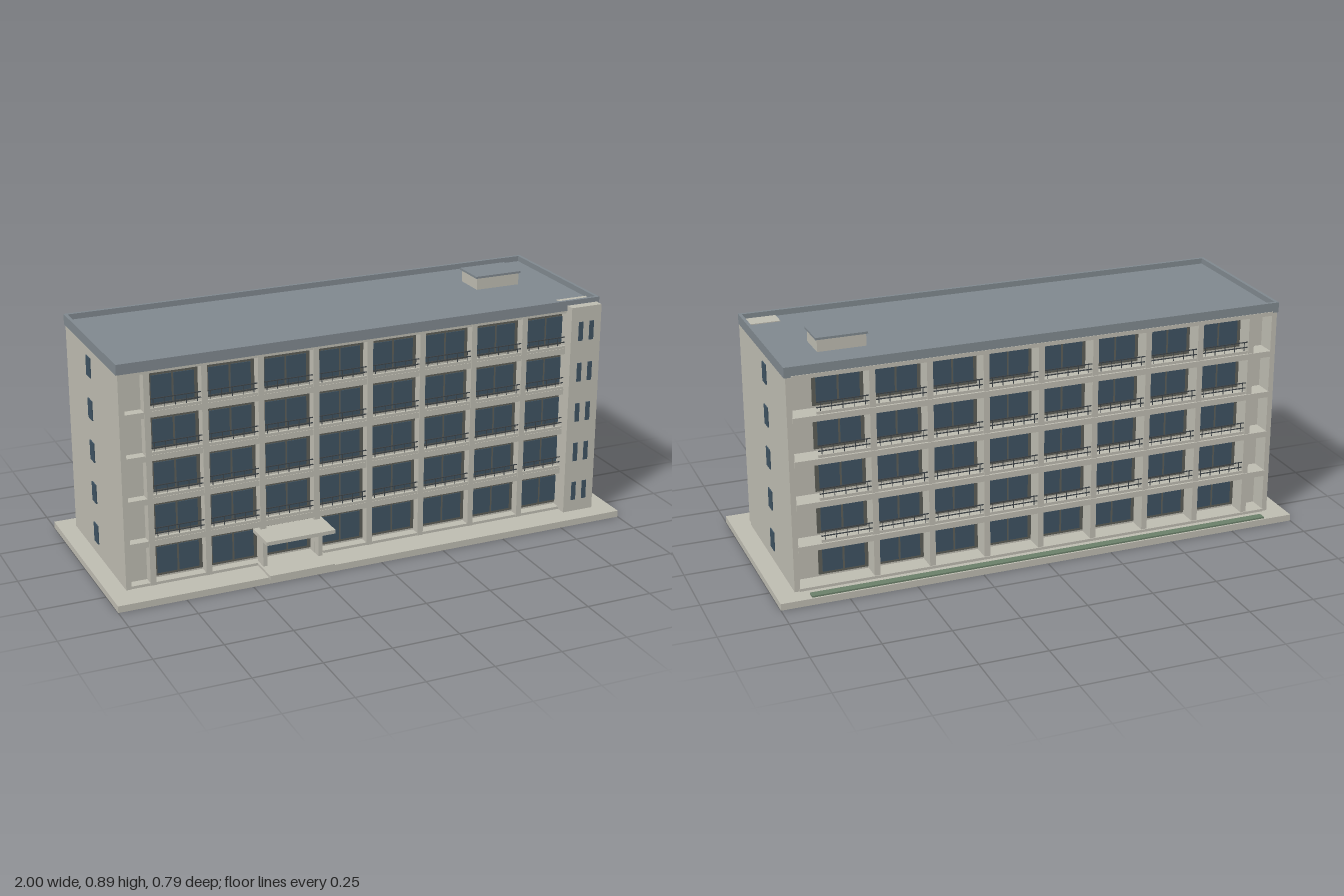
import * as THREE from 'three';

const mat = (name, color) => {
  const m = new THREE.MeshStandardMaterial({ color });
  m.name = name;
  return m;
};

export function createModel() {
  const wall = mat('concrete', 0xbdbbb0);
  const roofMat = mat('slate roof', 0x7f888e);
  const glass = mat('window glass', 0x3e5261);
  const frame = mat('window frame', 0x5c5d57);
  const rail = mat('railing metal', 0x3c4246);
  const green = mat('hedge', 0x6a7f69);

  const model = new THREE.Group();
  model.name = 'apartmentBlock';

  // Box given by its minimum and maximum along each axis
  const box = (name, m, x0, x1, y0, y1, z0, z1, parent = model) => {
    const mesh = new THREE.Mesh(new THREE.BoxGeometry(x1 - x0, y1 - y0, z1 - z0), m);
    mesh.position.set((x0 + x1) / 2, (y0 + y1) / 2, (z0 + z1) / 2);
    mesh.name = name;
    parent.add(mesh);
    return mesh;
  };

  const FLOORS = 5, STEP = 0.16, BAY = 0.2085;
  const FRONT = 0.278, BACK = -0.325;
  const CORE_FRONT = 0.24, CORE_BACK = -0.255;
  const floorY = i => 0.035 + STEP * i;

  // Ground slab and hedge
  box('groundSlab', wall, -1, 1, 0, 0.025, -0.395, 0.385);
  box('hedge', green, -0.89, 0.885, 0.025, 0.031, -0.388, -0.358);

  // Core and end walls
  box('core', wall, -0.92, 0.915, 0.025, 0.825, CORE_BACK, CORE_FRONT);
  box('rightEndWall', wall, -0.935, -0.915, 0.025, 0.825, BACK, FRONT);
  box('leftEndWall', wall, 0.91, 0.93, 0.025, 0.825, BACK, FRONT);

  // Floor slabs reaching out to both facades
  for (let i = 0; i <= FLOORS; i++) {
    const y = floorY(i);
    box('floorSlab', wall, -0.916, 0.912, i ? y - 0.022 : 0.02, i === FLOORS ? 0.828 : y, BACK - 0.004, FRONT - 0.002);
  }

  // One facade: columns, windows and railings; dir is +1 for front, -1 for back
  const facade = (name, dir, coreZ, edgeZ) => {
    const g = new THREE.Group();
    g.name = name;
    model.add(g);
    const slab = (n, m, x0, x1, y0, y1, a, b) =>
      box(n, m, x0, x1, y0, y1, Math.min(a, b), Math.max(a, b), g);
    for (let k = -4; k <= 3; k++) {
      slab('column', wall, k * BAY - 0.011, k * BAY + 0.011, 0.025, 0.825, coreZ - dir * 0.01, edgeZ);
    }
    for (let i = 0; i < FLOORS; i++) {
      const y = floorY(i);
      for (let k = -4; k <= 3; k++) {
        const c = (k + 0.5) * BAY;
        slab('windowFrame', frame, c - 0.092, c + 0.092, y + 0.008, y + 0.132, coreZ, coreZ + dir * 0.004);
        for (const s of [-1, 1]) {
          const p = c + s * 0.041;
          slab('windowPane', glass, p - 0.037, p + 0.037, y + 0.018, y + 0.118, coreZ, coreZ + dir * 0.007);
        }
        if (i === 0) continue;
        // Low kerb and railing on the upper balconies
        const z = edgeZ - dir * 0.008;
        slab('balconyKerb', wall, c - 0.094, c + 0.094, y, y + 0.01, z - dir * 0.004, z + dir * 0.004);
        for (const h of [0.022, 0.042]) {
          slab('handrail', rail, c - 0.094, c + 0.094, y + h, y + h + 0.003, z - dir * 0.002, z + dir * 0.002);
        }
        for (let b = -2; b <= 2; b++) {
          const x = c + b * 0.04;
          slab('railPost', rail, x - 0.001, x + 0.001, y + 0.008, y + 0.043, z - dir * 0.001, z + dir * 0.001);
        }
      }
    }
  };
  facade('frontFacade', 1, CORE_FRONT, FRONT);
  facade('backFacade', -1, CORE_BACK, BACK);

  // Stair tower with paired slit windows
  box('stairTower', wall, 0.8, 0.925, 0.025, 0.843, 0.2, 0.314);
  for (let i = 0; i < FLOORS; i++) {
    const y0 = 0.072 + STEP * i, y1 = y0 + 0.073;
    for (const x of [0.84, 0.885]) {
      box('towerWindow', glass, x - 0.009, x + 0.009, y0, y1, 0.312, 0.317);
    }
    // Corridor windows on both ends
    box('leftEndWindow', glass, 0.926, 0.934, y0, y1, -0.075, -0.029);
    box('rightEndWindow', glass, -0.939, -0.931, y0, y1, -0.075, -0.029);
  }

  // Roof deck and parapet
  box('roofDeck', roofMat, -0.935, 0.93, 0.823, 0.84, BACK, FRONT);
  box('frontParapet', roofMat, -0.94, 0.935, 0.823, 0.861, FRONT - 0.01, FRONT + 0.002);
  box('backParapet', roofMat, -0.94, 0.935, 0.823, 0.861, BACK - 0.002, BACK + 0.01);
  box('rightParapet', roofMat, -0.94, -0.928, 0.823, 0.861, BACK, FRONT);
  box('leftParapet', roofMat, 0.923, 0.935, 0.823, 0.861, BACK, FRONT);

  // Roof access hut
  box('roofHut', wall, 0.592, 0.77, 0.838, 0.886, -0.162, -0.04);
  box('roofHutCap', roofMat, 0.586, 0.776, 0.885, 0.893, -0.167, -0.035);

  // Entrance canopy, supports and step
  box('canopy', wall, -0.45, -0.185, 0.151, 0.165, 0.26, 0.39);
  box('entranceStep', wall, -0.44, -0.19, 0.02, 0.035, 0.26, 0.396);
  for (const x of [-0.425, -0.21]) {
    box('canopySupport', wall, x - 0.008, x + 0.008, 0.025, 0.155, 0.26, 0.312);
  }
  return model;
}
